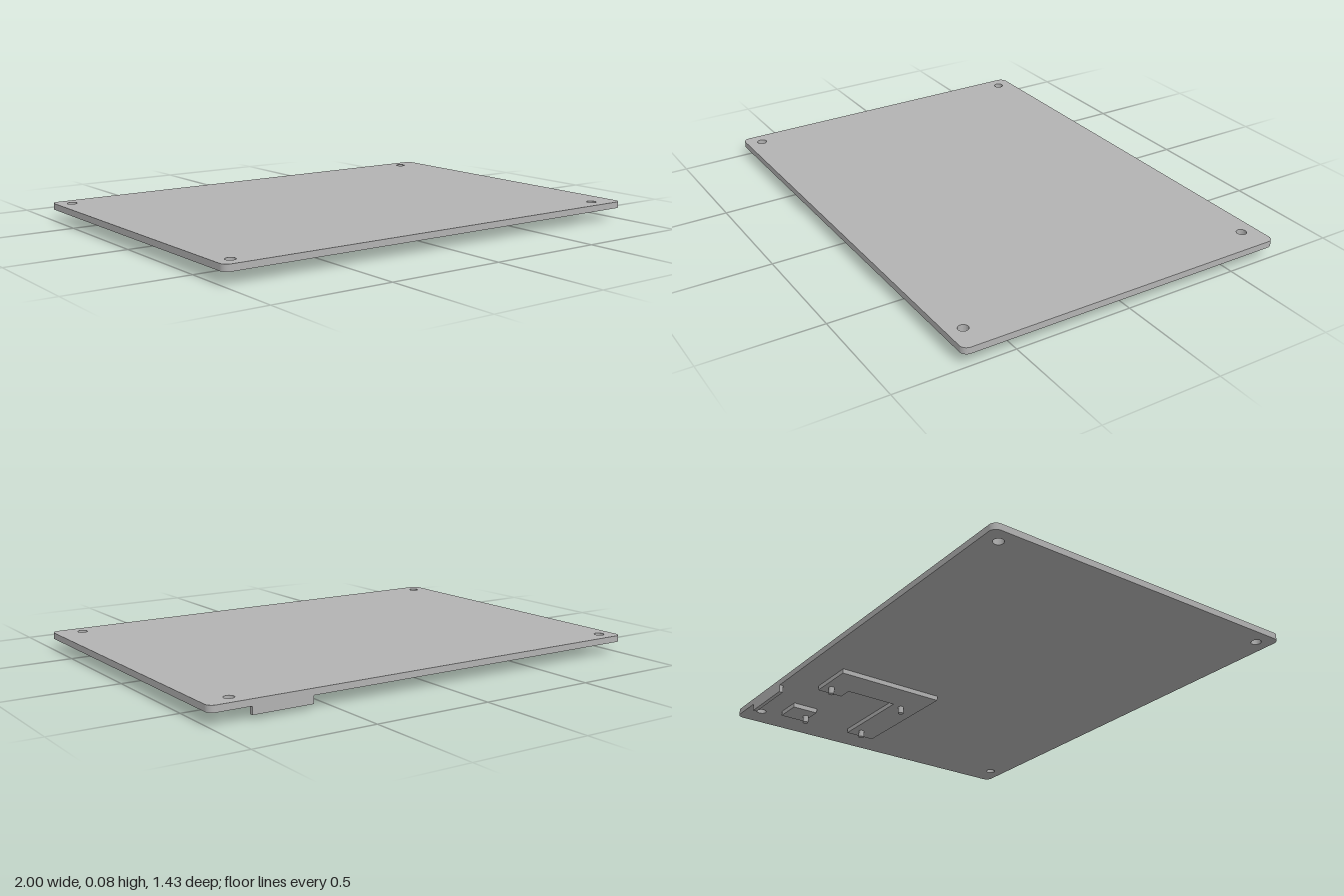
import * as THREE from 'three';

const PLATE_TOP = 0.077, PLATE_BOTTOM = 0.05, PAD_BOTTOM = 0.03;
const HALF_X = 1, HALF_Z = 0.717, CORNER = 0.03;

// Extrudes a shape drawn in (x, z) downwards from top to bottom
function slab(name, shape, top, bottom, material) {
  const geometry = new THREE.ExtrudeGeometry(shape, {
    depth: top - bottom, bevelEnabled: false, curveSegments: 12,
  });
  geometry.rotateX(Math.PI / 2);
  const mesh = new THREE.Mesh(geometry, material);
  mesh.name = name;
  mesh.position.y = top;
  return mesh;
}

const polygon = (points) => new THREE.Shape(points.map(([x, z]) => new THREE.Vector2(x, z)));

// Rectangle with rounded corners and four screw holes
function plateShape() {
  const shape = new THREE.Shape();
  const cx = HALF_X - CORNER, cz = HALF_Z - CORNER;
  shape.absarc(cx, cz, CORNER, 0, Math.PI / 2);
  shape.absarc(-cx, cz, CORNER, Math.PI / 2, Math.PI);
  shape.absarc(-cx, -cz, CORNER, Math.PI, Math.PI * 1.5);
  shape.absarc(cx, -cz, CORNER, Math.PI * 1.5, Math.PI * 2);
  shape.closePath();
  for (const x of [-0.935, 0.885]) {
    for (const z of [-0.65, 0.65]) {
      shape.holes.push(new THREE.Path().absarc(x, z, 0.021, 0, Math.PI * 2, true));
    }
  }
  return shape;
}

export function createModel() {
  const model = new THREE.Group();
  model.name = 'mountingPlate';
  const grey = new THREE.MeshStandardMaterial({ color: 0xb3b3b3 });
  grey.name = 'plain grey';

  model.add(slab('plate', plateShape(), PLATE_TOP, PLATE_BOTTOM, grey));

  // Raised U-shaped support pad and small corner pad on the underside
  model.add(slab('supportPad', polygon([
    [0.27, -0.575], [0.485, -0.575], [0.485, -0.46], [0.42, -0.46],
    [0.42, -0.23], [0.83, -0.23], [0.83, -0.095], [0.27, -0.095],
  ]), PLATE_BOTTOM, PAD_BOTTOM, grey));
  model.add(slab('cornerPad', polygon([
    [0.71, -0.575], [0.83, -0.575], [0.83, -0.46], [0.71, -0.46],
  ]), PLATE_BOTTOM, PAD_BOTTOM, grey));

  // Locating pins standing out of the pads
  const pinGeometry = new THREE.CylinderGeometry(0.0125, 0.0125, PAD_BOTTOM, 16);
  for (const [x, z] of [[0.775, -0.185], [0.43, -0.185], [0.43, -0.54], [0.775, -0.48]]) {
    const pin = new THREE.Mesh(pinGeometry, grey);
    pin.name = 'locatingPin';
    pin.position.set(x, PAD_BOTTOM / 2, z);
    model.add(pin);
  }

  // Lip hanging from the back edge
  model.add(slab('rearLip', polygon([
    [0.575, -HALF_Z], [0.83, -HALF_Z], [0.83, -0.7], [0.575, -0.7],
  ]), PLATE_BOTTOM, 0.018, grey));

  return model;
}
